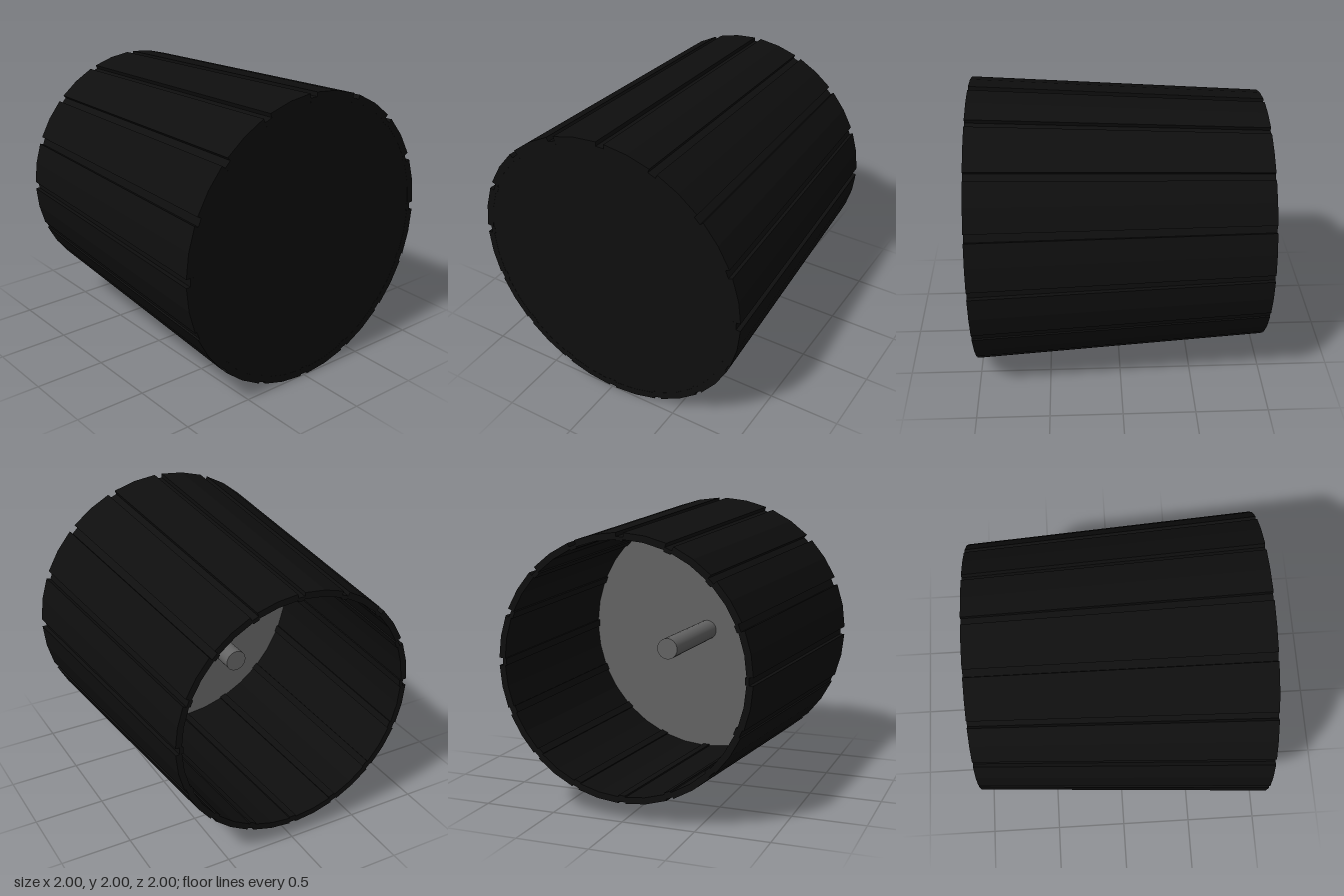
import * as THREE from 'three';

const PANELS = 16;
const STEP = (Math.PI * 2) / PANELS;
const SLOT = 0.029; // half angle of a slot between panels

// Outline of the slotted shell: two facets per panel, one slot per step
function outline(depthAt) {
  const pts = [];
  const add = (r, a) => pts.push(new THREE.Vector2(r * Math.cos(a), r * Math.sin(a)));
  for (let i = 0; i < PANELS; i++) {
    const a = i * STEP;
    const r = 1 - depthAt(a);
    add(1, a - SLOT);
    add(r, a - SLOT);
    add(r, a + SLOT);
    add(1, a + SLOT);
    add(1, a + STEP / 2);
  }
  return pts;
}

// Narrow toward the back, about the drum's axis
const taper = z => 1 - 0.125 * (1 - z) / 2;

export function createModel() {
  const group = new THREE.Group();
  group.name = 'taperedDrum';
  const black = new THREE.MeshStandardMaterial({ color: 0x0e0e0e });
  black.name = 'black';
  const grey = new THREE.MeshStandardMaterial({ color: 0x646464 });
  grey.name = 'grey';

  const add = (name, geometry, material, z = 0) => {
    const mesh = new THREE.Mesh(geometry, material);
    mesh.name = name;
    mesh.position.set(0, 1, z);
    group.add(mesh);
    return mesh;
  };

  // Panelled wall, slots shallower underneath, with low ribs inside
  const shape = new THREE.Shape(outline(a => (Math.sin(a) > -0.1 ? 0.03 : 0.012)));
  const inner = outline(() => 0.012).map(p => p.multiplyScalar(0.95));
  shape.holes.push(new THREE.Path(inner));
  const wall = new THREE.ExtrudeGeometry(shape, { depth: 2, bevelEnabled: false });
  wall.translate(0, 0, -1);
  const pos = wall.attributes.position;
  for (let i = 0; i < pos.count; i++) {
    const s = taper(pos.getZ(i));
    pos.setXY(i, pos.getX(i) * s, pos.getY(i) * s);
  }
  wall.computeVertexNormals();
  add('drumWall', wall, black);

  // Closed front
  const cap = new THREE.CylinderGeometry(0.955, 0.952, 0.04, 64).rotateX(Math.PI / 2);
  add('frontCap', cap, black, 0.979);

  // Inner plate and its shaft, facing the open back
  const plate = new THREE.CylinderGeometry(0.935, 0.935, 0.02, 48).rotateX(Math.PI / 2);
  add('innerPlate', plate, grey, 0.65);
  const shaft = new THREE.CylinderGeometry(0.075, 0.075, 0.85, 24).rotateX(Math.PI / 2);
  add('shaft', shaft, grey, 0.225);

  return group;
}
